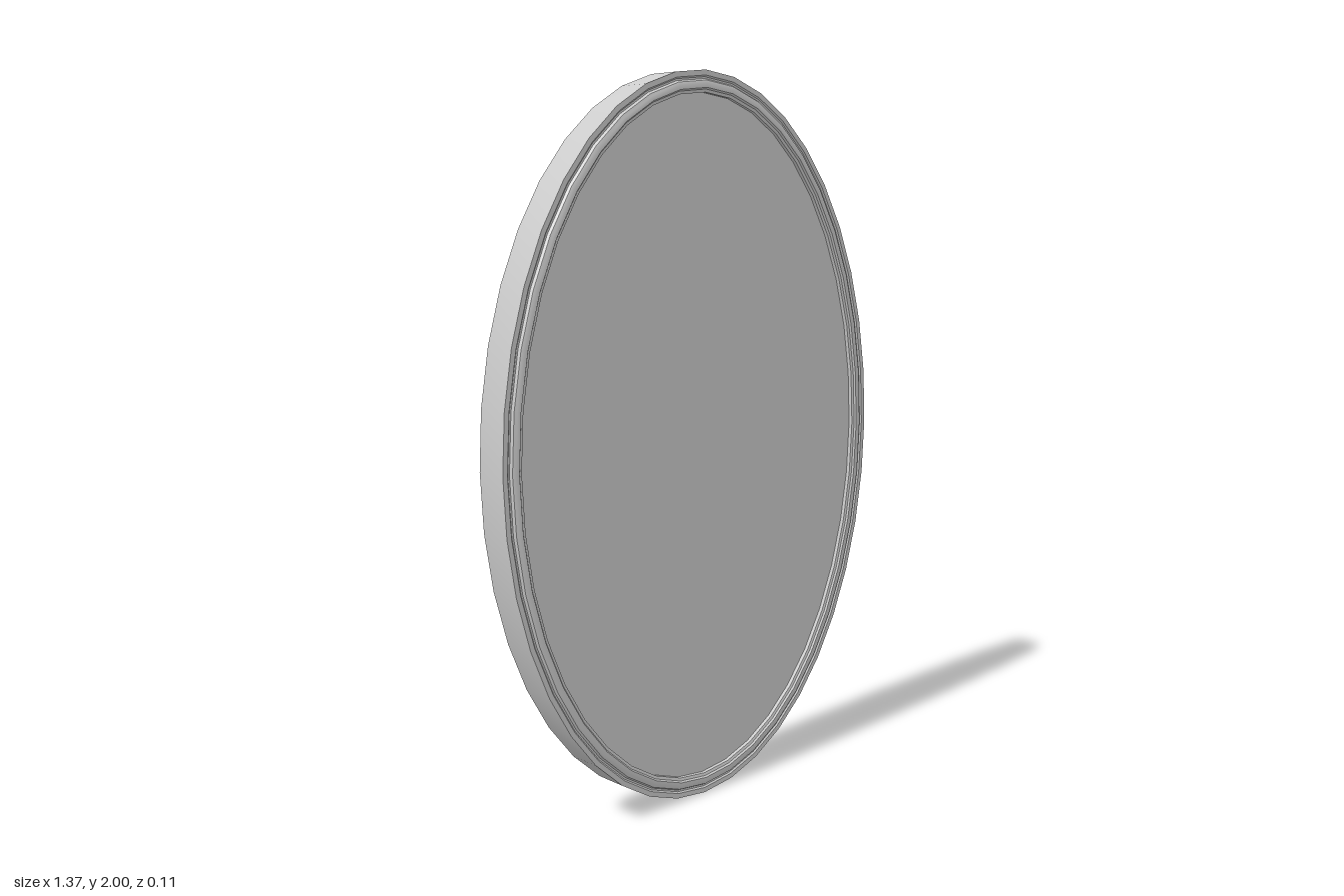
import * as THREE from 'three';
import { toCreasedNormals } from 'three/addons/utils/BufferGeometryUtils.js';

const A = 0.684, B = 1, SEGMENTS = 40;

// point on the oval, moved inwards by d along the normal
function ovalPoint(i, d) {
  const t = (i / SEGMENTS) * Math.PI * 2;
  const n = new THREE.Vector2(Math.cos(t) / A, Math.sin(t) / B).normalize();
  return [A * Math.cos(t) - d * n.x, B * Math.sin(t) - d * n.y];
}

// sweep a closed [inset, z] profile round the oval
function sweepOval(profile) {
  const positions = [], indices = [], m = profile.length;
  for (let i = 0; i < SEGMENTS; i++) {
    for (const [d, z] of profile) positions.push(...ovalPoint(i, d), z);
  }
  for (let i = 0; i < SEGMENTS; i++) {
    const next = (i + 1) % SEGMENTS;
    for (let j = 0; j < m; j++) {
      const k = (j + 1) % m;
      const a = i * m + j, b = next * m + j, c = next * m + k, e = i * m + k;
      indices.push(a, b, c, a, c, e);
    }
  }
  const geometry = new THREE.BufferGeometry();
  geometry.setAttribute('position', new THREE.Float32BufferAttribute(positions, 3));
  geometry.setIndex(indices);
  return toCreasedNormals(geometry, 0.5);
}

export function createModel() {
  const group = new THREE.Group();
  const material = new THREE.MeshStandardMaterial({ color: 0xcccccc, side: THREE.DoubleSide });

  // moulded rim, the same on the front and the back
  const face = [
    [0, 0.047], [0.014, 0.047], [0.018, 0.043], [0.023, 0.043], [0.027, 0.05],
    [0.034, 0.053], [0.046, 0.053], [0.05, 0.048], [0.058, 0.046],
  ];
  const back = face.map(([d, z]) => [d, -z]).reverse();
  const frame = new THREE.Mesh(sweepOval([...face, ...back]), material);
  frame.name = 'frame';

  // flat pane, set just behind the front of the rim
  const outline = [];
  for (let i = 0; i < SEGMENTS; i++) outline.push(new THREE.Vector2(...ovalPoint(i, 0.056)));
  const pane = new THREE.Mesh(new THREE.ShapeGeometry(new THREE.Shape(outline)), material);
  pane.name = 'pane';
  pane.position.z = 0.035;

  for (const part of [frame, pane]) {
    part.position.y = B;
    group.add(part);
  }
  return group;
}
